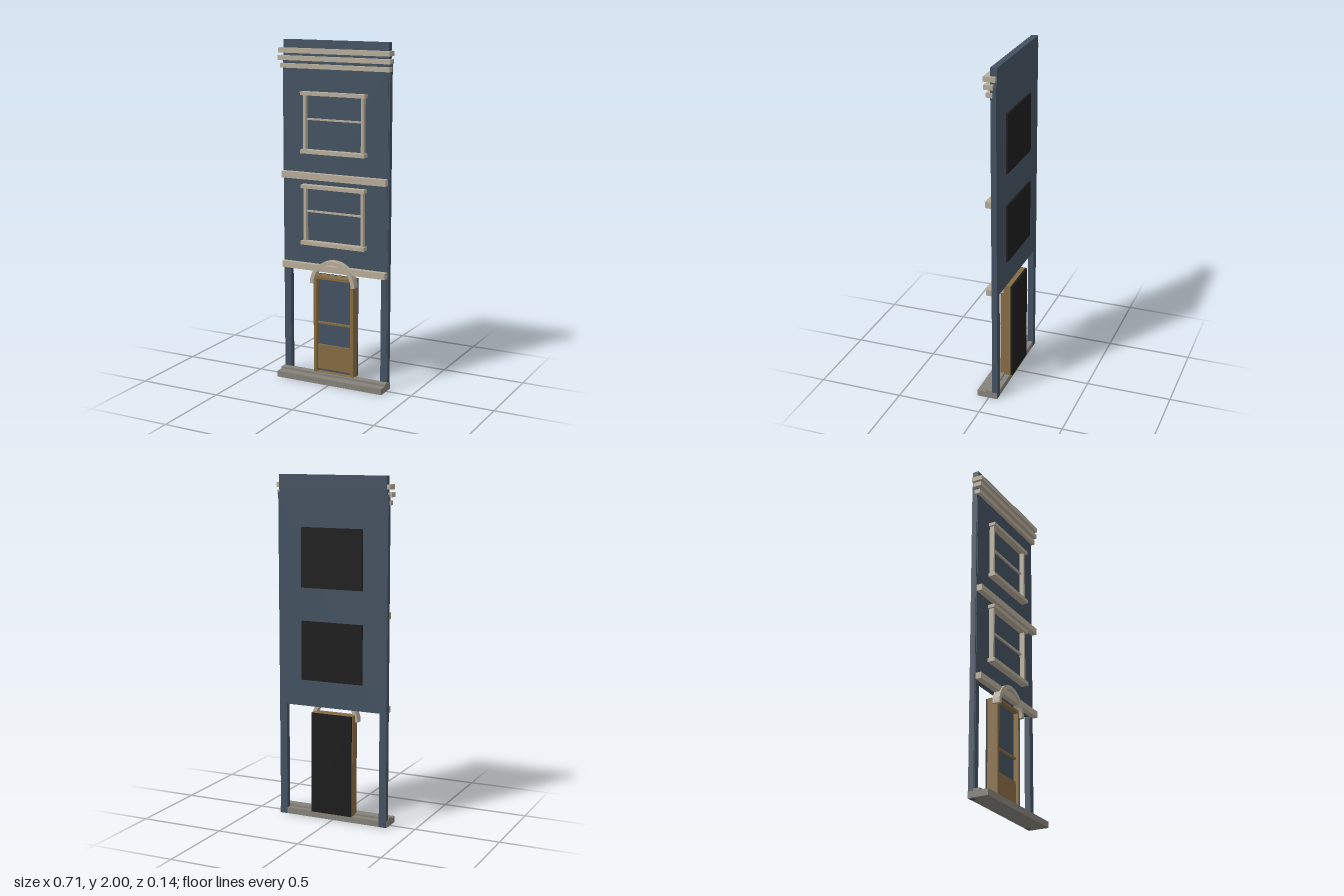
import * as THREE from 'three';

const mat = (name, color) => {
  const m = new THREE.MeshStandardMaterial({ color });
  m.name = name;
  return m;
};

export function createModel() {
  const wall = mat('slateBlueWall', 0x435160);
  const trim = mat('creamTrim', 0xb5ab98);
  const stone = mat('greyStone', 0x85817a);
  const wood = mat('brownWood', 0x856b43);
  const black = mat('blackBacking', 0x1c1c1c);

  const root = new THREE.Group();
  root.name = 'townhouseFacade';

  const add = (parent, name, geometry, material) => {
    const mesh = new THREE.Mesh(geometry, material);
    mesh.name = name;
    parent.add(mesh);
    return mesh;
  };
  // box given by its extents on each axis
  const box = (parent, name, material, x0, x1, y0, y1, z0, z1) => {
    const mesh = add(parent, name, new THREE.BoxGeometry(x1 - x0, y1 - y0, z1 - z0), material);
    mesh.position.set((x0 + x1) / 2, (y0 + y1) / 2, (z0 + z1) / 2);
    return mesh;
  };
  // box symmetric about x = 0
  const bar = (parent, name, material, halfW, y0, y1, z0, z1) =>
    box(parent, name, material, -halfW, halfW, y0, y1, z0, z1);
  const group = (name) => {
    const g = new THREE.Group();
    g.name = name;
    root.add(g);
    return g;
  };

  // wall with an open ground floor between two corner piers
  const facade = (name, halfW, top, z0, z1) => {
    const s = new THREE.Shape();
    [[-halfW, 0], [-0.295, 0], [-0.295, 0.67], [0.295, 0.67], [0.295, 0],
      [halfW, 0], [halfW, top], [-halfW, top]]
      .forEach(([x, y], i) => (i ? s.lineTo(x, y) : s.moveTo(x, y)));
    const geo = new THREE.ExtrudeGeometry(s, { depth: z1 - z0, bevelEnabled: false });
    geo.translate(0, 0, z0);
    add(root, name, geo, wall);
  };
  facade('wall', 0.339, 1.9, -0.053, -0.021);
  facade('wallFace', 0.331, 1.9, -0.021, -0.018);
  bar(root, 'parapet', wall, 0.331, 1.9, 2, -0.055, -0.018);

  // cornice and string courses
  const cornice = group('cornice');
  [[0.345, 1.84, 1.866, -0.034, 0.002],
    [0.353, 1.884, 1.91, -0.038, 0.012],
    [0.349, 1.926, 1.954, -0.052, 0.016]]
    .forEach((c) => bar(cornice, 'corniceBand', trim, ...c));
  bar(root, 'upperStringCourse', trim, 0.333, 1.205, 1.243, -0.02, 0.015);
  bar(root, 'lowerStringCourse', trim, 0.333, 0.668, 0.705, -0.02, 0.015);

  // sash windows, with their backing on the inside
  for (const base of [0.82, 1.357]) {
    const win = group('window');
    bar(win, 'windowSill', trim, 0.204, base, base + 0.022, -0.02, 0.024);
    bar(win, 'windowLintel', trim, 0.204, base + 0.334, base + 0.354, -0.02, 0.024);
    for (const s of [-1, 1]) {
      const jamb = bar(win, 'windowJamb', trim, 0.008, base + 0.022, base + 0.334, -0.02, 0.01);
      jamb.position.x = s * 0.184;
    }
    bar(win, 'windowMeetingRail', trim, 0.178, base + 0.191, base + 0.201, -0.02, -0.005);
    bar(win, 'windowBacking', black, 0.19, base + 0.005, base + 0.349, -0.065, -0.052);
  }

  // door
  const door = group('door');
  for (const s of [-1, 1]) {
    const stile = bar(door, 'doorStile', wood, 0.0095, 0.04, 0.636, -0.058, 0.005);
    stile.position.x = s * 0.12;
  }
  bar(door, 'doorTopRail', wood, 0.112, 0.62, 0.636, -0.058, 0.005);
  bar(door, 'doorMiddleRail', wood, 0.112, 0.345, 0.356, -0.03, -0.01);
  bar(door, 'doorBottomPanel', wood, 0.112, 0.066, 0.215, -0.03, -0.012);
  bar(door, 'doorBottomRail', wood, 0.112, 0.035, 0.05, -0.058, 0.005);
  bar(door, 'doorPane', wall, 0.112, 0.04, 0.622, -0.04, -0.025);
  bar(door, 'doorBacking', black, 0.126, 0.04, 0.635, -0.07, -0.057);

  // arch over the door
  const arch = new THREE.Shape();
  arch.absarc(0, 0, 0.145, 0, Math.PI, false);
  arch.absarc(0, 0, 0.122, Math.PI, 0, true);
  const archGeo = new THREE.ExtrudeGeometry(arch, { depth: 0.044, bevelEnabled: false, curveSegments: 16 });
  add(root, 'doorArch', archGeo, trim).position.set(0, 0.594, -0.02);

  // stone base
  const base = group('base');
  bar(base, 'step', stone, 0.343, 0, 0.036, -0.052, 0.07);
  bar(base, 'threshold', stone, 0.343, 0.036, 0.048, -0.02, 0.02);

  return root;
}
